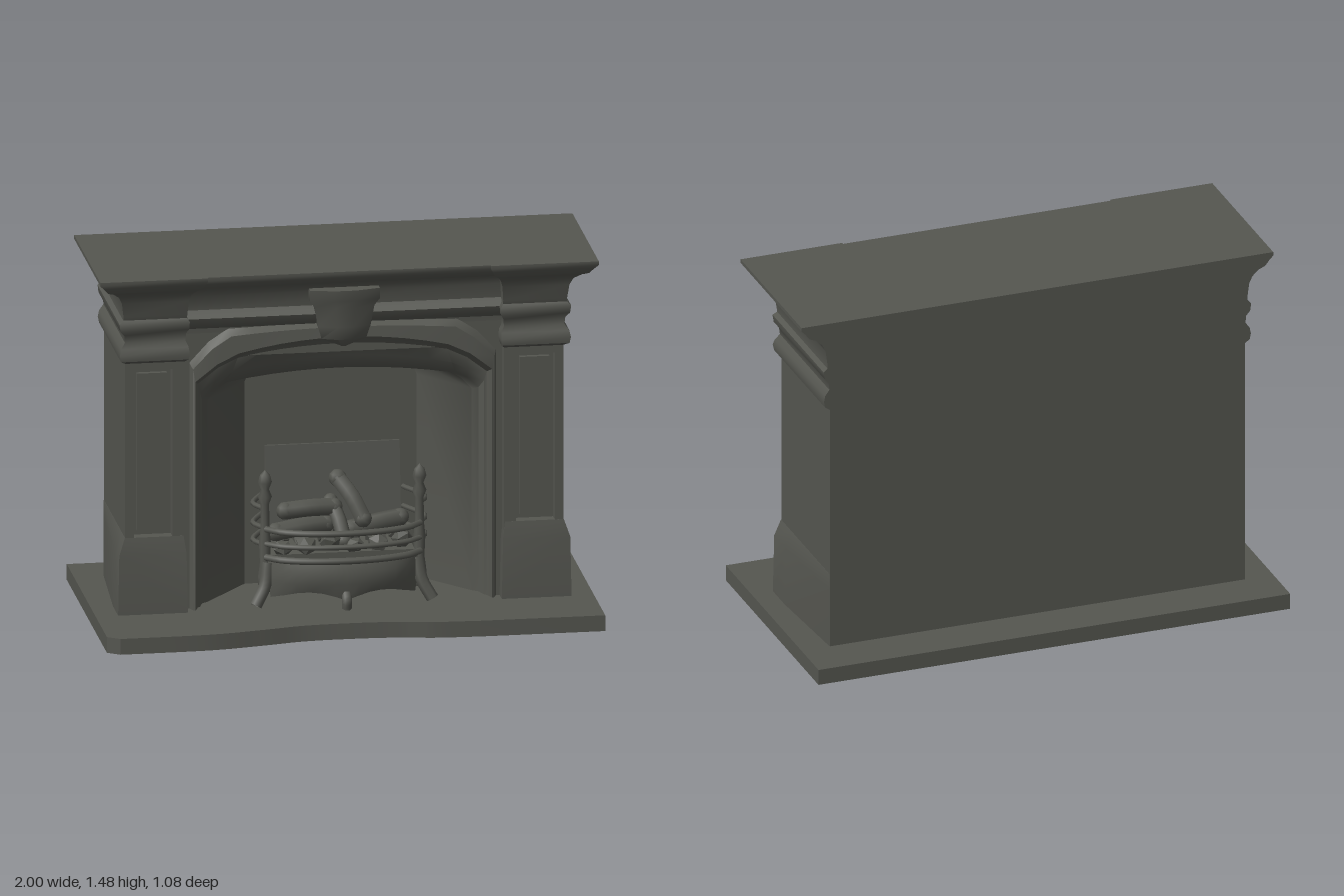
import * as THREE from 'three';
import { toCreasedNormals } from 'three/addons/utils/BufferGeometryUtils.js';

const BACK = -0.35;

// Skin between rows of [x, y, z] points; flatAxis closes the last row with a cap
function loft(rows, { closed = false, flatAxis = -1 } = {}) {
  const n = rows[0].length, index = [];
  for (let i = 0; i < rows.length - 1; i++) {
    for (let j = 0; j < (closed ? n : n - 1); j++) {
      const a = i * n + j, b = i * n + (j + 1) % n;
      index.push(a, b, b + n, a, b + n, a + n);
    }
  }
  if (flatAxis >= 0) {
    const start = (rows.length - 1) * n;
    const [u, v] = [0, 1, 2].filter((k) => k !== flatAxis);
    const flat = rows[rows.length - 1].map((p) => new THREE.Vector2(p[u], p[v]));
    for (const f of THREE.ShapeUtils.triangulateShape(flat, [])) {
      // keep caps facing up or forward
      if (flatAxis === 1) f.reverse();
      index.push(...f.map((k) => start + k));
    }
  }
  const g = new THREE.BufferGeometry();
  g.setAttribute('position', new THREE.Float32BufferAttribute(rows.flat(2), 3));
  g.setIndex(index);
  return toCreasedNormals(g, 0.7);
}

// Shouldered arch outline, right foot over the crown to left foot
function arch([w, spring, sx, sy, apex, z]) {
  const half = [[w, 0.06, z], [w, spring, z], [(w + sx) / 2, spring + (sy - spring) * 0.62, z]];
  for (let i = 0; i < 5; i++) {
    const x = sx * (1 - i / 5);
    half.push([x, apex - (apex - sy) * (x / sx) ** 2, z]);
  }
  return [...half, [0, apex, z], ...half.map(([x, y]) => [-x, y, z]).reverse()];
}

const toShape = (pts) => new THREE.Shape(pts.map(([x, y]) => new THREE.Vector2(x, y)));
const rect = (x0, y0, x1, y1) => [[x0, y0], [x1, y0], [x1, y1], [x0, y1]];

export function createModel() {
  const model = new THREE.Group();
  model.name = 'fireplace';
  const stone = new THREE.MeshStandardMaterial({ color: 0x555650, side: THREE.DoubleSide });

  const add = (name, geometry, pos = [0, 0, 0], parent = model) => {
    const mesh = new THREE.Mesh(geometry, stone);
    mesh.name = name;
    mesh.position.set(...pos);
    parent.add(mesh);
    return mesh;
  };
  const extrude = (shape, depth) => new THREE.ExtrudeGeometry(shape, { depth, bevelEnabled: false });
  const tube = (pts, r, steps = 16) => new THREE.TubeGeometry(
    new THREE.CatmullRomCurve3(pts.map((p) => new THREE.Vector3(...p))), steps, r, 6);

  // Hearth slab with a waved front edge
  const hearth = new THREE.Shape();
  hearth.moveTo(1, 0.54);
  hearth.lineTo(-1, 0.54);
  hearth.lineTo(-1, -0.5);
  hearth.lineTo(-0.95, -0.535);
  hearth.splineThru([[-0.6, -0.53], [-0.38, -0.497], [-0.2, -0.462], [0, -0.455], [0.18, -0.465],
    [0.32, -0.49], [0.5, -0.5]].map(([x, y]) => new THREE.Vector2(x, y)));
  hearth.lineTo(1, -0.5);
  add('hearth', toCreasedNormals(extrude(hearth, 0.065).rotateX(-Math.PI / 2), 0.6));

  // Chimney breast with the arched hole
  const rings = [
    [0.615, 1.08, 0.46, 1.215, 1.225, 0.15],
    [0.605, 1.06, 0.45, 1.19, 1.21, 0.18],
    [0.595, 1.01, 0.42, 1.12, 1.17, 0.185],
    [0.58, 0.99, 0.42, 1.09, 1.13, 0.145],
    [0.57, 0.95, 0.44, 1.03, 1.08, 0.135],
    [0.555, 0.91, 0.46, 0.98, 1.02, 0.09],
    [0.53, 0.9, 0.45, 0.97, 1.01, 0.07],
    [0.345, 0.9, 0.3, 1.0, 1.0, -0.16],
  ].map(arch);
  const breast = toShape(rect(-0.88, 0.06, 0.88, 1.25));
  breast.holes.push(new THREE.Path(rings[0].map(([x, y]) => new THREE.Vector2(x, Math.max(y, 0.061)))));
  add('chimneyBreast', extrude(breast, 0.5), [0, 0, BACK]);
  add('backPanel', new THREE.BoxGeometry(1.76, 1.36, 0.02), [0, 0.74, BACK + 0.01]);

  // Arch mouldings running into the splayed firebox
  add('archMoulding', loft(rings.slice(0, 7)));
  add('firebox', loft(rings.slice(6), { flatAxis: 2 }));

  // Entablature and shelf: [y, half width, pilaster front, centre front]
  const cornice = [
    [1.1, 0.878, 0.195, 0.149], [1.115, 0.9, 0.222, 0.149], [1.14, 0.905, 0.226, 0.149],
    [1.165, 0.9, 0.215, 0.149], [1.19, 0.882, 0.205, 0.149], [1.22, 0.885, 0.208, 0.152],
    [1.24, 0.902, 0.222, 0.178], [1.27, 0.906, 0.225, 0.19], [1.285, 0.89, 0.215, 0.175],
    [1.3, 0.89, 0.22, 0.165], [1.36, 0.898, 0.232, 0.172], [1.39, 0.912, 0.247, 0.19],
    [1.415, 0.94, 0.285, 0.225], [1.425, 0.965, 0.305, 0.29], [1.45, 0.985, 0.325, 0.315],
    [1.465, 1.0, 0.335, 0.325], [1.48, 1.0, 0.335, 0.325],
  ].map(([y, x, z, c]) => {
    const xi = 0.64 - (x - 0.88) * 0.6;
    return [[-x, y, BACK], [-x, y, z], [-xi, y, z], [-xi, y, c],
      [xi, y, c], [xi, y, z], [x, y, z], [x, y, BACK]];
  });
  add('mantelShelf', loft(cornice, { closed: true, flatAxis: 1 }));

  // Keystone: stacked outlines narrowing to a point
  const key = [[1.13, 0.02, 0.18], [1.165, 0.09, 0.21], [1.22, 0.105, 0.225], [1.3, 0.12, 0.225],
    [1.33, 0.14, 0.235], [1.375, 0.14, 0.24]].map(([y, w, z]) => [[-w, y, 0.12], [-w, y, z - 0.025],
    [-w * 0.3, y, z], [w * 0.3, y, z], [w, y, z - 0.025], [w, y, 0.12]]);
  add('keystone', loft(key, { closed: true, flatAxis: 1 }));

  // Panelled pilasters and their plinths
  for (const side of [1, -1]) {
    const column = new THREE.Group();
    column.name = side > 0 ? 'leftPilaster' : 'rightPilaster';
    column.scale.x = side;
    model.add(column);
    const frame = toShape(rect(0.64, 0.06, 0.88, 1.12));
    frame.holes.push(toShape(rect(0.69, 0.38, 0.845, 1.07)));
    add('pilasterFrame', extrude(frame, 0.046), [0, 0, 0.149], column);
    add('pilasterPanel', new THREE.BoxGeometry(0.12, 0.65, 0.02), [0.768, 0.725, 0.16], column);
    const plinth = [[0.06, 0.91, 0.21, 0.63], [0.31, 0.905, 0.208, 0.635], [0.38, 0.881, 0.196, 0.645]]
      .map(([y, x, z, xi]) => [[xi, y, 0.12], [xi, y, z], [x, y, z], [x, y, 0.08], [0.881, y, BACK]]);
    add('plinth', loft(plinth, { closed: true, flatAxis: 1 }), [0, 0, 0], column);
  }

  // Fire grate
  const grate = new THREE.Group();
  grate.name = 'fireGrate';
  model.add(grate);
  const bow = (y, front, w = 0.31) => Array.from({ length: 13 }, (_, i) => {
    const t = i / 6 - 1;
    return [w * t, y, 0.13 + (front - 0.13) * Math.sqrt(Math.max(0, 1 - 0.95 * t * t))];
  });
  for (const [y, z, r] of [[0.382, 0.275, 0.013], [0.32, 0.255, 0.011], [0.265, 0.262, 0.014]]) {
    add('frontBar', tube(bow(y, z), r, 28), [0, 0, 0], grate);
  }
  const hem = bow(0.13, 0.255, 0.29).map(([x, , z], i) => [x, 0.1 + 0.035 * Math.abs(Math.sin(i * Math.PI / 6)), z]);
  add('apron', loft([hem, bow(0.17, 0.27, 0.3), bow(0.22, 0.272, 0.3), bow(0.26, 0.255, 0.3)]), [0, 0, 0], grate);
  add('fireBed', new THREE.BoxGeometry(0.58, 0.03, 0.24), [0, 0.255, 0.03], grate);
  add('centreFoot', tube([[0, 0.13, 0.25], [0, 0.1, 0.27], [0, 0.07, 0.265]], 0.02, 6), [0, 0, 0], grate);
  const postProfile = [[0, 0], [0.026, 0], [0.028, 0.06], [0.02, 0.12], [0.024, 0.2], [0.018, 0.26],
    [0.017, 0.36], [0.028, 0.39], [0.016, 0.42], [0.028, 0.45], [0.02, 0.48], [0, 0.5]]
    .map(([x, y]) => new THREE.Vector2(x, y));
  for (const s of [1, -1]) {
    add('post', new THREE.LatheGeometry(postProfile, 8), [s * 0.31, 0.12, 0.14], grate);
    add('splayedFoot', tube([[s * 0.3, 0.24, 0.15], [s * 0.315, 0.15, 0.17], [s * 0.355, 0.075, 0.19]], 0.025, 8),
      [0, 0, 0], grate);
    for (const y of [0.31, 0.38, 0.46]) {
      add('sideBar', tube([[s * 0.31, y, 0.14], [s * 0.345, y, 0.06], [s * 0.28, y, -0.09]], 0.011, 8), [0, 0, 0], grate);
    }
    add('rearLeg', new THREE.CylinderGeometry(0.02, 0.02, 0.2, 6), [s * 0.27, 0.16, -0.08], grate);
  }
  // Leaning iron plate behind the fire
  add('fireback', new THREE.BoxGeometry(0.54, 0.42, 0.02), [0, 0.435, -0.1], grate).rotation.x = -0.12;

  // Logs and coals
  const logs = [
    [[-0.22, 0.43, 0.08], [-0.02, 0.43, 0.05], 0.036], [[0, 0.54, 0.02], [0.09, 0.39, 0.1], 0.036],
    [[-0.26, 0.35, 0.1], [-0.05, 0.36, 0.04], 0.038], [[0.05, 0.34, 0.06], [0.25, 0.37, 0.03], 0.036],
    [[-0.03, 0.45, 0.03], [0.01, 0.31, 0.13], 0.03],
  ];
  for (const [a, b, r] of logs) add('log', tube([a, a.map((v, i) => (v + b[i]) / 2 + 0.006), b], r, 6), [0, 0, 0], grate);
  for (const [a, b, r] of logs) {
    for (const end of [a, b]) add('logEnd', new THREE.SphereGeometry(r, 8, 6), end, grate);
  }
  for (let i = 0; i < 12; i++) {
    const coal = add('coal', new THREE.IcosahedronGeometry(0.045, 0),
      [-0.24 + (i % 6) * 0.096, 0.295 + (i % 3) * 0.01, i < 6 ? 0.14 : 0.03], grate);
    coal.rotation.set(i, i * 2, 0);
    coal.scale.y = 0.7;
  }
  return model;
}
